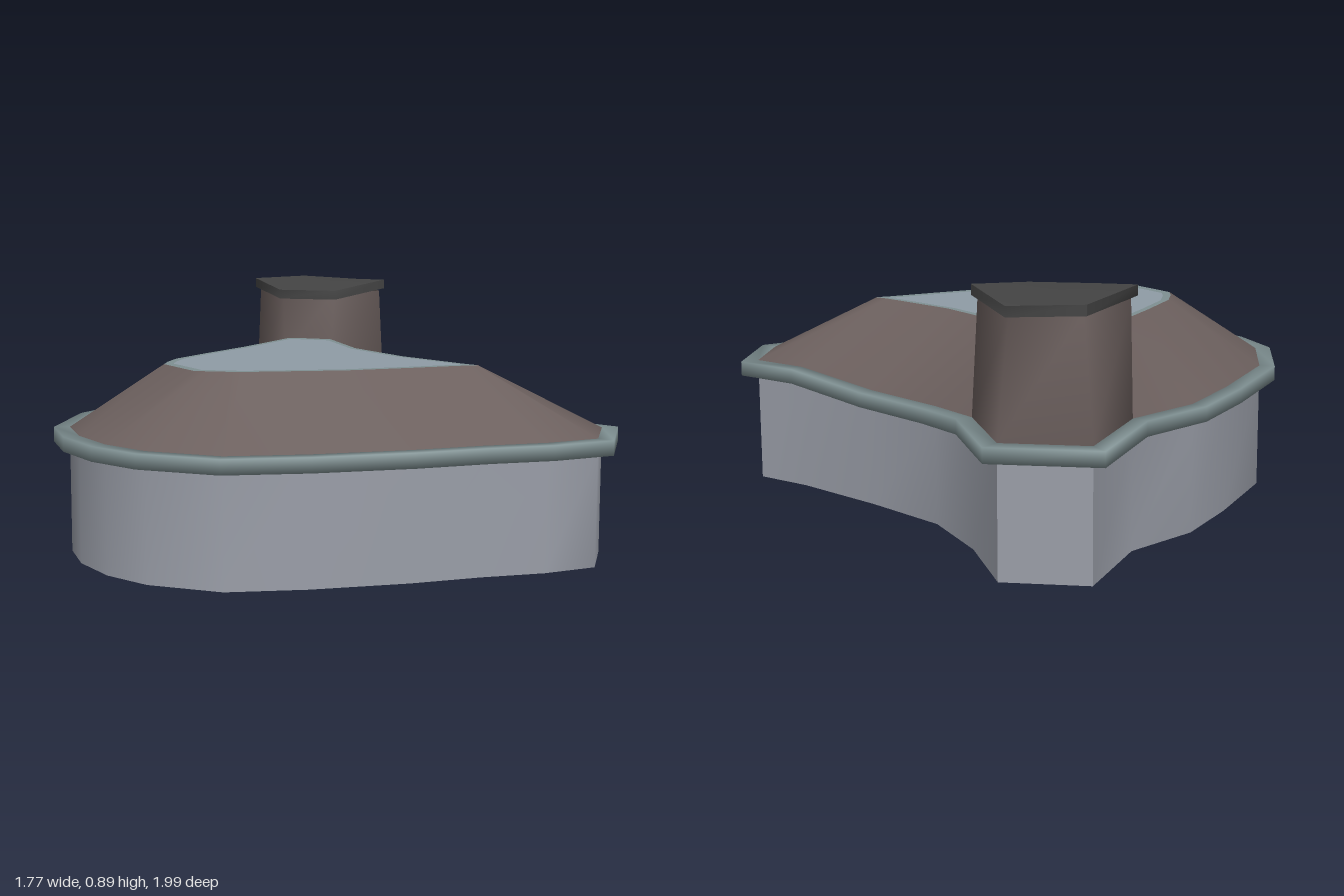
import * as THREE from 'three';
import { toCreasedNormals } from 'three/addons/utils/BufferGeometryUtils.js';

// Eaves outline [x, z], clockwise seen from above
const EAVES = [
  [-0.89, -0.06], [-0.83, -0.27], [-0.61, -0.51], [-0.27, -0.68], [0, -0.79], [0.28, -0.81], [0.62, -1],
  [0.88, -0.73], [0.74, -0.4], [0.68, -0.12], [0.72, 0.2], [0.785, 0.55], [0.86, 0.78], [0.65, 0.99],
  [0.42, 0.96], [0.2, 0.89], [-0.05, 0.83], [-0.38, 0.72], [-0.65, 0.595], [-0.83, 0.36], [-0.89, 0.16],
];
// Flat roof top, one point for each eaves point
const TOP = [
  [-0.5, -0.06], [-0.46, -0.11], [-0.39, -0.175], [-0.2, -0.27], [0, -0.36], [0.31, -0.53], [0.35, -0.49],
  [0.39, -0.44], [0.42, -0.4], [0.335, -0.1], [0.34, 0.2], [0.4, 0.5], [0.415, 0.545], [0.41, 0.545],
  [0.37, 0.53], [0.17, 0.48], [-0.05, 0.42], [-0.38, 0.265], [-0.41, 0.24], [-0.47, 0.185], [-0.5, 0.16],
];
// Tower cap corners [x, y, z]
const CAP = [
  [0.31, 0.89, -0.79], [0.62, 0.88, -0.91], [0.79, 0.87, -0.73],
  [0.71, 0.89, -0.45], [0.44, 0.86, -0.4], [0.285, 0.86, -0.56],
];
const CAP_CENTRE = [0.54, 0.87, -0.65];

// The eaves sag a little along the hollow side
const sag = (i) => (i === 9 || i === 10 ? 0.03 : 0);

// Moves an outline inwards by d with mitred corners
function inset(points, d) {
  const n = points.length;
  const normal = (a, b) => new THREE.Vector2(b[1] - a[1], a[0] - b[0]).normalize();
  return points.map((p, i) => {
    const n1 = normal(points[(i + n - 1) % n], p);
    const n2 = normal(p, points[(i + 1) % n]);
    const k = d / (1 + n1.dot(n2));
    return [p[0] - (n1.x + n2.x) * k, p[1] - (n1.y + n2.y) * k];
  });
}

const lift = (points, y) => points.map((p, i) => [p[0], y - sag(i), p[1]]);
const level = (points, y, s = 1) => points.map((p) => [p[0] * s, y, p[1] * s]);
const toward = (points, c, s, dy = 0) =>
  points.map((p) => [c[0] + (p[0] - c[0]) * s, p[1] + dy, c[2] + (p[2] - c[2]) * s]);

// Skins a list of closed rings, from bottom to top; wrap joins last ring to first
function loft(rings, wrap = false) {
  const n = rings[0].length;
  const index = [];
  const count = wrap ? rings.length : rings.length - 1;
  for (let r = 0; r < count; r++) {
    const s = (r + 1) % rings.length;
    for (let i = 0; i < n; i++) {
      const j = (i + 1) % n;
      const a = r * n + i, b = r * n + j, c = s * n + i, d = s * n + j;
      index.push(a, c, b, b, c, d);
    }
  }
  const geo = new THREE.BufferGeometry();
  geo.setAttribute('position', new THREE.Float32BufferAttribute(rings.flat(2), 3));
  geo.setIndex(index);
  geo.computeVertexNormals();
  return geo;
}

export function createModel() {
  const group = new THREE.Group();
  const add = (name, geo, color) => {
    const mesh = new THREE.Mesh(geo, new THREE.MeshStandardMaterial({ color, side: THREE.DoubleSide }));
    mesh.name = name;
    group.add(mesh);
  };
  const inner = inset(EAVES, 0.055);

  // Outer wall, open below
  add('wall', toCreasedNormals(loft([level(inner, 0), lift(inner, 0.4)]), 1), 0x9a9ea8);

  // Trim around the eaves
  add('eavesTrim', loft([
    lift(inner, 0.395), lift(EAVES, 0.395), lift(EAVES, 0.447), lift(inner, 0.447),
  ], true), 0x7f9092);

  // Sloping roof, edging and flat panel on top
  add('roof', loft([lift(inner, 0.447), level(TOP, 0.67)]), 0x6b5f5d);
  add('panelEdging', loft([level(TOP, 0.67), level(TOP, 0.67, 0.93)]), 0x7f9092);
  add('roofPanel', loft([level(TOP, 0.67, 0.93), level(TOP, 0.67, 0)]), 0x8f9ca6);

  // Tower rising from the back corner of the roof
  const corner = [5, 6, 7, 8].map((i) => [inner[i][0], 0.445, inner[i][1]]);
  const foot = [...corner, [0.43, 0.6, -0.41], [0.3, 0.6, -0.55]];
  const head = toward(CAP, CAP_CENTRE, 0.92).map((p) => [p[0], 0.845, p[2]]);
  add('tower', loft([foot, head]), 0x6b5f5d);

  // Uneven cap on the tower
  const under = toward(CAP, CAP_CENTRE, 1, -0.035);
  const middle = (y) => CAP.map(() => [CAP_CENTRE[0], y, CAP_CENTRE[2]]);
  add('towerCap', toCreasedNormals(loft([middle(0.84), under, CAP, middle(0.875)]), 1.1), 0x444444);

  return group;
}
